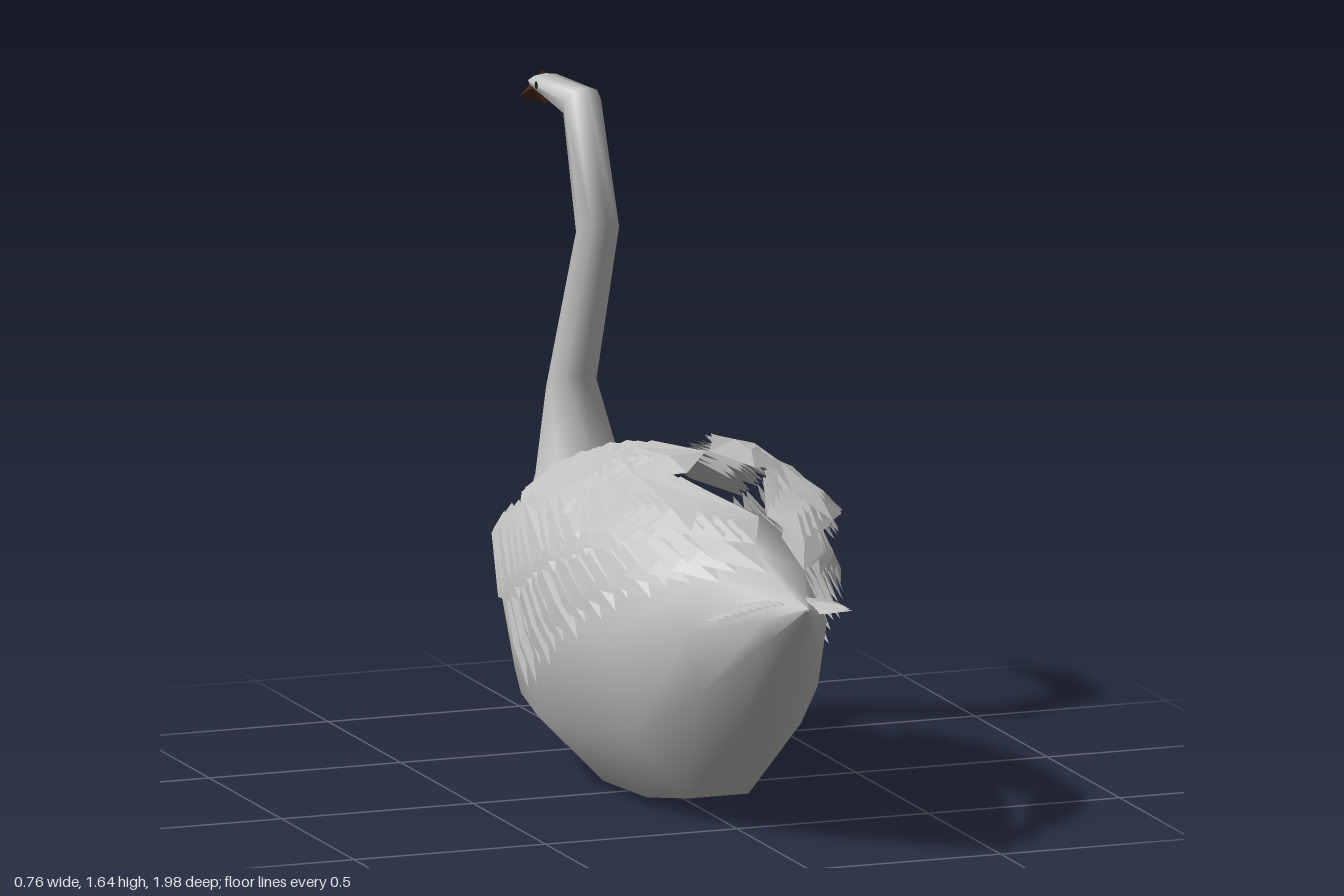
import * as THREE from 'three';

const plumage = new THREE.MeshStandardMaterial({ color: 0xc0c0be });
plumage.name = 'plumage';
const feather = new THREE.MeshStandardMaterial({ color: 0xbfbfbd, side: THREE.DoubleSide });
feather.name = 'feather';
const horn = new THREE.MeshStandardMaterial({ color: 0x442719 });
horn.name = 'horn';
const eyeDark = new THREE.MeshStandardMaterial({ color: 0x1a1512, side: THREE.DoubleSide });
eyeDark.name = 'eyeDark';

const V = (x, y, z) => new THREE.Vector3(x, y, z);

// Closed loft with a ridge on top and a flat underside.
// Each ring is [topZ, topY, bottomZ, bottomY, halfWidth, pinch of the underside]
function loft(rings, sides) {
  const pos = [], index = [];
  const lowest = Math.cos(Math.PI * (1 - (sides % 2) / sides));
  for (const [tz, ty, bz, by, w, pinch = 0] of rings) {
    for (let j = 0; j < sides; j++) {
      const a = (j / sides) * Math.PI * 2;
      const t = (1 - Math.cos(a)) / (1 - lowest);
      pos.push(w * Math.sin(a) * (1 - pinch * t * t), ty + (by - ty) * t, tz + (bz - tz) * t);
    }
  }
  for (let i = 0; i < rings.length - 1; i++) {
    for (let j = 0; j < sides; j++) {
      const a = i * sides + j, b = i * sides + ((j + 1) % sides);
      index.push(a, b, a + sides, b, b + sides, a + sides);
    }
  }
  const last = (rings.length - 1) * sides;
  for (let j = 1; j < sides - 1; j++) {
    index.push(0, j + 1, j, last, last + j, last + j + 1);
  }
  const g = new THREE.BufferGeometry();
  g.setAttribute('position', new THREE.Float32BufferAttribute(pos, 3));
  g.setIndex(index);
  g.computeVertexNormals();
  return g;
}

// Adds one pointed feather, folded along its midrib, from base to tip
function addFeather(pos, base, tip, width, out) {
  const dir = tip.clone().sub(base);
  const side = dir.clone().cross(out).normalize();
  const up = side.clone().cross(dir).normalize();
  const shoulder = base.clone().addScaledVector(dir, 0.7);
  const rib = shoulder.clone().addScaledVector(up, width * 0.12);
  for (const s of [-1, 1]) {
    const b = base.clone().addScaledVector(side, s * width * 0.25);
    const m = shoulder.clone().addScaledVector(side, s * width * 0.5);
    for (const p of [base, b, m, base, m, rib, rib, m, tip]) pos.push(p.x, p.y, p.z);
  }
}

// A row of overlapping, slightly ruffled feathers between a curve of bases and a curve of tips
function featherRow(name, bases, tips, count, width, mirror) {
  const curve = (pts) => new THREE.CatmullRomCurve3(pts.map(([x, y, z]) => V(x * mirror, y, z)));
  const from = curve(bases), to = curve(tips), pos = [];
  for (let i = 0; i < count; i++) {
    const t = i / (count - 1);
    const b = from.getPoint(t), e = to.getPoint(t);
    const out = V((b.x + e.x) / 2, (b.y + e.y) / 2 - 0.45, 0).normalize();
    const ruffle = Math.sin(i * 2.4);
    b.addScaledVector(out, ruffle * 0.006);
    e.addScaledVector(e.clone().sub(b), ruffle * 0.04);
    addFeather(pos, b, e, width, out);
  }
  return featherMesh(name, pos);
}

function featherMesh(name, pos) {
  const g = new THREE.BufferGeometry();
  g.setAttribute('position', new THREE.Float32BufferAttribute(pos, 3));
  g.computeVertexNormals();
  const mesh = new THREE.Mesh(g, feather);
  mesh.name = name;
  return mesh;
}

export function createModel() {
  const model = new THREE.Group();
  model.name = 'waterBird';

  // Body, neck and head in one skin, from tail tip to face
  const body = new THREE.Mesh(loft([
    [0.99, 0.656, 0.99, 0.645, 0.005],
    [0.86, 0.67, 0.88, 0.52, 0.07],
    [0.62, 0.73, 0.66, 0.28, 0.19, 0.1],
    [0.32, 0.78, 0.37, 0.06, 0.29, 0.2],
    [0.12, 0.79, 0.15, 0.02, 0.32, 0.05],
    [-0.13, 0.775, -0.13, 0.005, 0.325],
    [-0.3, 0.745, -0.33, 0.035, 0.31, 0.1],
    [-0.44, 0.72, -0.54, 0.065, 0.265, 0.25],
    [-0.49, 0.71, -0.735, 0.26, 0.18, 0.55],
    [-0.505, 0.74, -0.71, 0.6, 0.125, 0.45],
    [-0.56, 0.92, -0.72, 0.86, 0.062, 0.1],
    [-0.395, 1.33, -0.52, 1.29, 0.052],
    [-0.54, 1.647, -0.6, 1.555, 0.049],
    [-0.82, 1.625, -0.83, 1.59, 0.045],
  ], 9), plumage);
  body.name = 'body';
  model.add(body);

  // Beak
  const beakGeometry = loft([
    [-0.84, 1.63, -0.82, 1.545, 0.033],
    [-0.99, 1.537, -0.99, 1.531, 0.003],
  ], 4).toNonIndexed();
  beakGeometry.computeVertexNormals();
  const beak = new THREE.Mesh(beakGeometry, horn);
  beak.name = 'beak';
  model.add(beak);

  for (const s of [1, -1]) {
    const sideName = s > 0 ? 'left' : 'right';

    // Eye
    const eye = new THREE.Mesh(new THREE.CircleGeometry(0.011, 6), eyeDark);
    eye.name = sideName + 'Eye';
    eye.position.set(s * 0.051, 1.613, -0.75);
    eye.rotation.y = s * Math.PI / 2;
    model.add(eye);

    // Folded wing, built up from rows of feathers
    const wing = new THREE.Group();
    wing.name = sideName + 'Wing';
    wing.add(
      featherRow('flightFeathers',
        [[0.31, 0.57, -0.34], [0.335, 0.66, -0.13], [0.3, 0.76, 0.12], [0.2, 0.83, 0.4]],
        [[0.37, 0.29, 0.04], [0.35, 0.45, 0.26], [0.26, 0.61, 0.53], [0.05, 0.72, 0.83]],
        17, 0.11, s),
      featherRow('coverts',
        [[0.31, 0.62, -0.34], [0.33, 0.71, -0.14], [0.28, 0.79, 0.1], [0.17, 0.85, 0.32]],
        [[0.365, 0.48, -0.08], [0.36, 0.59, 0.12], [0.31, 0.7, 0.38], [0.14, 0.78, 0.68]],
        16, 0.12, s),
      featherRow('innerFeathers',
        [[0.25, 0.81, 0.08], [0.2, 0.86, 0.26], [0.13, 0.86, 0.44]],
        [[0.28, 0.76, 0.42], [0.21, 0.8, 0.62], [0.06, 0.78, 0.81]],
        11, 0.15, s),
      featherRow('shoulderFeathers',
        [[0.18, 0.71, -0.4], [0.18, 0.79, -0.2], [0.16, 0.86, 0], [0.13, 0.89, 0.14]],
        [[0.23, 0.73, -0.14], [0.2, 0.81, 0.06], [0.16, 0.86, 0.24], [0.09, 0.88, 0.38]],
        20, 0.2, s),
    );
    model.add(wing);
  }

  // Tail fan, drooping towards its sides
  const tail = [];
  for (let i = -10; i <= 10; i++) {
    const a = (i / 10) * 0.95;
    const c = Math.cos(a);
    const base = V(Math.sin(a) * 0.1, 0.5 + c * 0.13, 0.64 + c * 0.06);
    const tip = V(Math.sin(a) * 0.22, 0.53 + c * 0.125, 0.68 + c * 0.25);
    addFeather(tail, base, tip, 0.08, V(0, 1, 0));
  }
  model.add(featherMesh('tailFan', tail));

  return model;
}
